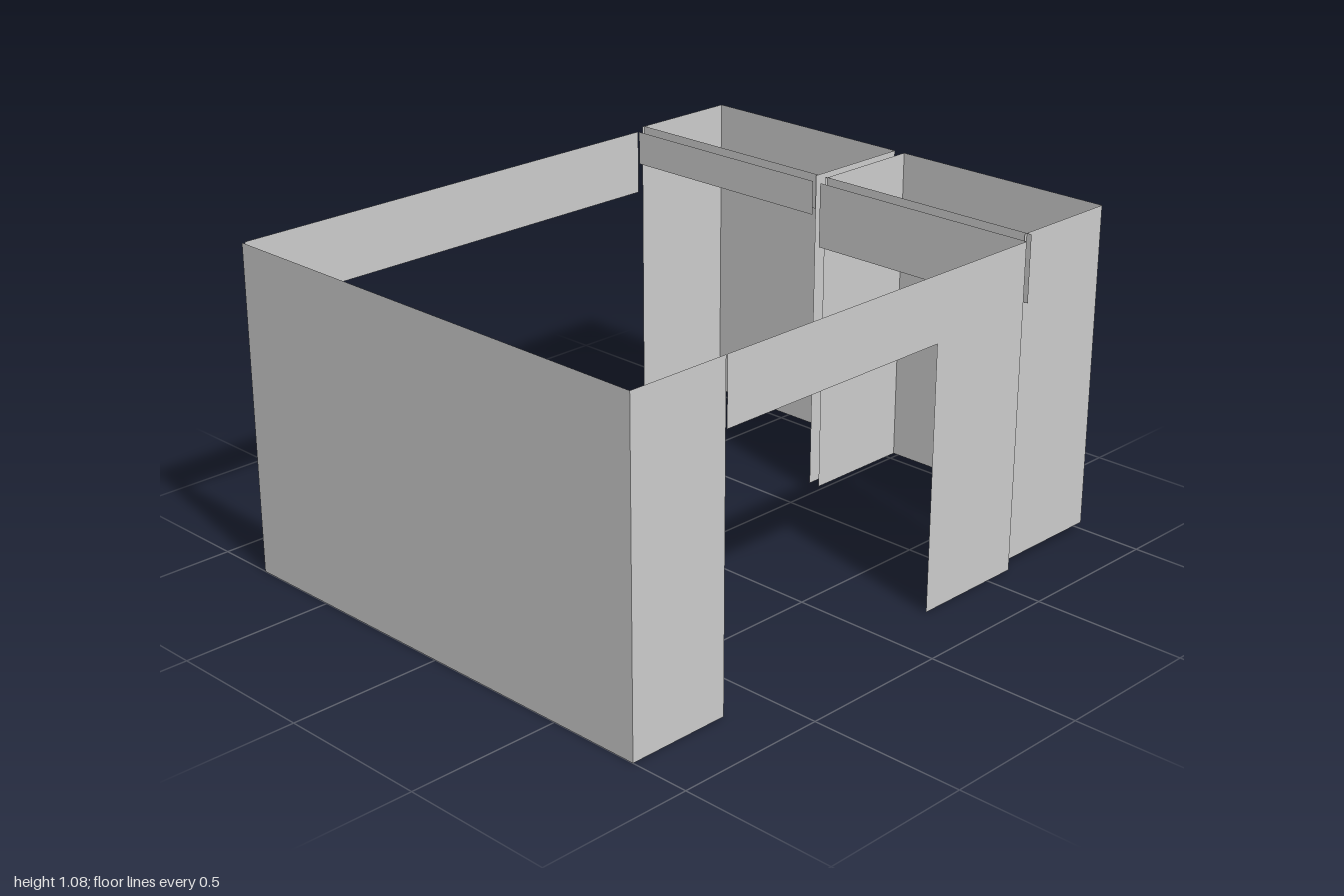
import * as THREE from 'three';

const material = new THREE.MeshStandardMaterial({ color: 0xcccccc, side: THREE.DoubleSide });

// Thin upright panel facing +z, spanning x0..x1 and y0..y1
function panelX(name, x0, x1, y0, y1, z) {
  const mesh = new THREE.Mesh(new THREE.PlaneGeometry(x1 - x0, y1 - y0), material);
  mesh.name = name;
  mesh.position.set((x0 + x1) / 2, (y0 + y1) / 2, z);
  return mesh;
}

// Thin upright panel facing +x, spanning z0..z1 and y0..y1
function panelZ(name, z0, z1, y0, y1, x) {
  const mesh = new THREE.Mesh(new THREE.PlaneGeometry(z1 - z0, y1 - y0), material);
  mesh.name = name;
  mesh.rotation.y = Math.PI / 2;
  mesh.position.set(x, (y0 + y1) / 2, (z0 + z1) / 2);
  return mesh;
}

// Rear bay: back wall and two side walls, with a lintel across its open front
function rearBay(name, x0, x1, lintelX0, lintelX1, lintelBottom) {
  const bay = new THREE.Group();
  bay.name = name;
  const bottom = 0.022, top = 1.075, back = -1, front = -0.62;
  bay.add(
    panelX('bayBackWall', x0, x1, bottom, top, back),
    panelZ('bayRightWall', back, front, bottom, top, x0),
    panelZ('bayLeftWall', back, front, bottom, top, x1),
    panelX('bayLintel', lintelX0, lintelX1, lintelBottom + 0.012, top, -0.63)
  );
  return bay;
}

export function createModel() {
  const model = new THREE.Group();
  model.name = 'roomWalls';
  const side = 0.805, top = 1.06, header = 0.85, rear = -0.605;

  // Main room: front wall and the side walls around the openings
  model.add(
    panelX('frontWall', -side, side, 0, top, 1),
    panelZ('leftFrontWall', 0.655, 1, 0, top, side),
    panelZ('leftHeader', rear, 0.65, header, top, side),
    panelZ('leftRearWall', rear, -0.21, 0, header, side),
    panelZ('rightHeader', rear, 0.99, header, top, -side)
  );

  // Headers over the openings into the rear bays
  model.add(
    panelX('rearHeaderRight', -0.8, -0.025, 0.95, top, rear),
    panelX('rearHeaderLeft', 0.005, 0.803, header, top, rear)
  );

  // Two bays side by side with a narrow gap
  model.add(
    rearBay('rightBay', -0.8, -0.026, -0.8, -0.026, 0.95),
    rearBay('leftBay', 0.013, 0.786, 0.004, 0.803, header)
  );
  return model;
}
